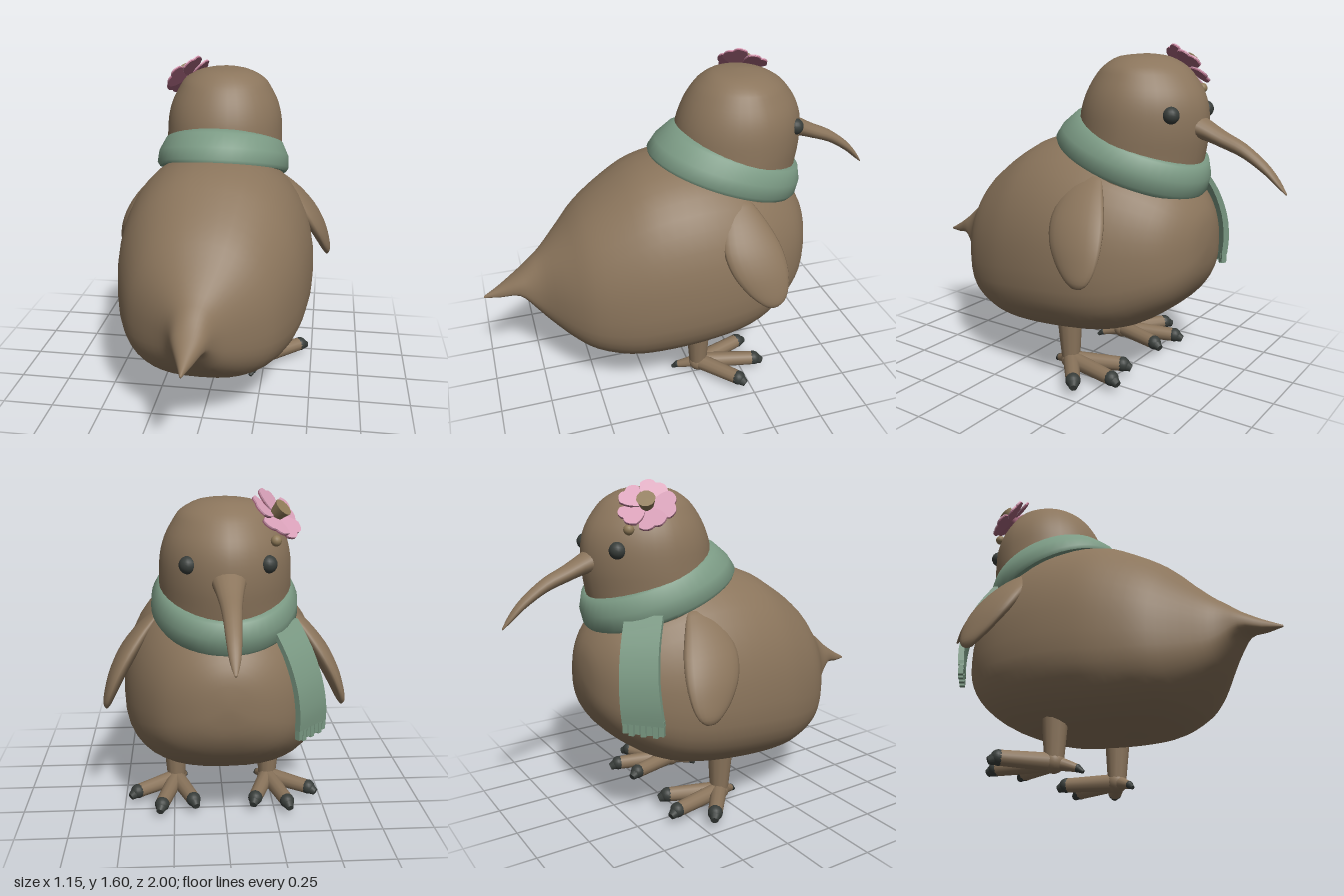
import * as THREE from 'three';
import { toCreasedNormals } from 'three/addons/utils/BufferGeometryUtils.js';

const mat = (name, color, opts = {}) => {
  const m = new THREE.MeshStandardMaterial({ color, ...opts });
  m.name = name;
  return m;
};
const V = (x, y, z) => new THREE.Vector3(x, y, z);

// Catmull-Rom interpolation of rows of numbers
function smooth(rows, steps) {
  const out = [], at = i => rows[Math.max(0, Math.min(rows.length - 1, i))];
  for (let i = 0; i < rows.length - 1; i++) {
    for (let k = 0; k < steps; k++) {
      const t = k / steps;
      out.push(rows[i].map((p1, j) => {
        const p0 = at(i - 1)[j], p2 = at(i + 1)[j], p3 = at(i + 2)[j];
        return p1 + 0.5 * t * (p2 - p0 + t * (2 * p0 - 5 * p1 + 4 * p2 - p3 + t * (3 * (p1 - p2) + p3 - p0)));
      }));
    }
  }
  out.push(rows[rows.length - 1]);
  return out;
}

// Skin a list of point rings; caps the ends, or joins last to first when closed
function loft(rings, closed = false) {
  const n = rings[0].length, m = rings.length, pts = rings.flat(), idx = [];
  for (let i = 0; i < (closed ? m : m - 1); i++) {
    for (let j = 0; j < n; j++) {
      const a = i * n + j, b = i * n + (j + 1) % n, k = ((i + 1) % m) * n;
      const c = k + j, d = k + (j + 1) % n;
      idx.push(a, b, c, b, d, c);
    }
  }
  if (!closed) {
    const mid = r => r.reduce((s, p) => s.add(p), V(0, 0, 0)).divideScalar(n);
    pts.push(mid(rings[0]), mid(rings[m - 1]));
    for (let j = 0; j < n; j++) {
      const k = (j + 1) % n, e = (m - 1) * n;
      idx.push(m * n, k, j, m * n + 1, e + j, e + k);
    }
  }
  // turn the faces outward
  let vol = 0;
  for (let i = 0; i < idx.length; i += 3) {
    vol += pts[idx[i]].dot(V(0, 0, 0).crossVectors(pts[idx[i + 1]], pts[idx[i + 2]]));
  }
  if (vol < 0) idx.reverse();
  const g = new THREE.BufferGeometry().setFromPoints(pts);
  g.setIndex(idx);
  g.computeVertexNormals();
  return g;
}

// Ring of n points from a function of cosine and sine
const ring = (n, fn) => Array.from({ length: n }, (_, i) => {
  const a = (i / n) * Math.PI * 2;
  return fn(Math.cos(a), Math.sin(a));
});
const pw = (v, p) => Math.sign(v) * Math.pow(Math.abs(v), 2 / p);

export function createModel() {
  const model = new THREE.Group();
  const brown = mat('brown feathers', 0x8b755c);
  const dark = mat('dark claws and eyes', 0x383d3a);
  const green = mat('scarf green', 0x7b9a84);
  const pink = mat('petal pink', 0xd8a0b8, { side: THREE.DoubleSide });
  const plum = mat('petal underside', 0xa3637a, { side: THREE.DoubleSide });
  const tan = mat('flower centre', 0x8f7a58);

  const add = (name, geo, material, parent = model) => {
    const m = new THREE.Mesh(geo, material);
    m.name = name;
    parent.add(m);
    return m;
  };
  // Tapered round bar between two points
  const bar = (name, a, b, r0, r1, material, parent) => {
    const m = add(name, new THREE.CylinderGeometry(r1, r0, a.distanceTo(b), 12), material, parent);
    m.position.copy(a).lerp(b, 0.5);
    m.quaternion.setFromUnitVectors(V(0, 1, 0), b.clone().sub(a).normalize());
    return m;
  };
  const ball = (name, p, r, material, parent) => {
    const m = add(name, new THREE.SphereGeometry(r, 16, 12), material, parent);
    m.position.copy(p);
    return m;
  };

  // Body and pointed tail: z, top, bottom, half width
  const bodyRows = [
    [1, 0.525, 0.515, 0.004], [0.92, 0.57, 0.515, 0.035], [0.83, 0.63, 0.52, 0.075], [0.76, 0.69, 0.44, 0.108],
    [0.7, 0.74, 0.37, 0.158], [0.6, 0.84, 0.285, 0.272], [0.5, 0.945, 0.225, 0.36], [0.35, 1.055, 0.185, 0.43],
    [0.2, 1.135, 0.183, 0.47], [0, 1.17, 0.2, 0.49], [-0.2, 1.15, 0.228, 0.474], [-0.36, 1.09, 0.28, 0.422],
    [-0.5, 1.0, 0.375, 0.335], [-0.58, 0.92, 0.46, 0.245], [-0.63, 0.83, 0.56, 0.135], [-0.645, 0.73, 0.67, 0.03]];
  add('body', loft(smooth(bodyRows, 3).map(([z, t, b, w]) => ring(40, (c, s) => {
    const mid = b + (t - b) * 0.39, p = s > 0 ? 2.2 : 2.6;
    return V(w * pw(c, p), mid + (s > 0 ? t - mid : mid - b) * pw(s, p), z);
  }))), brown);

  // Head and neck, narrowing toward the beak: y, back z, front z, half width
  const headRows = [
    [1.553, -0.28, -0.33, 0.02], [1.54, -0.17, -0.41, 0.12], [1.5, -0.105, -0.487, 0.198], [1.45, -0.06, -0.537, 0.236],
    [1.38, -0.02, -0.582, 0.272], [1.3, 0.008, -0.604, 0.292], [1.2, 0.025, -0.606, 0.298], [1.1, 0.05, -0.592, 0.3],
    [1, 0.05, -0.575, 0.31], [0.88, 0, -0.575, 0.29], [0.75, -0.1, -0.58, 0.23]];
  add('head', loft(smooth(headRows, 3).map(([y, b, f, w]) => ring(36, (c, s) => {
    const p = s > 0 ? 2 : 1.8;
    return V(w * pw(c, p), y, (b + f) / 2 + (b - f) / 2 * pw(s, p));
  }))), brown);

  // Long curved beak: z, top, bottom, half width
  const beakRows = [
    [-0.54, 1.31, 1.17, 0.09], [-0.6, 1.28, 1.18, 0.07], [-0.7, 1.225, 1.15, 0.05], [-0.8, 1.178, 1.113, 0.039],
    [-0.9, 1.105, 1.052, 0.031], [-0.96, 1.04, 1.003, 0.022], [-1, 0.98, 0.972, 0.006]];
  add('beak', loft(smooth(beakRows, 3).map(([z, t, b, w]) => ring(16, (c, s) =>
    V(w * c, (t + b) / 2 + (t - b) / 2 * s, z)))), brown);

  // Wing: y, centre x, half thickness, centre z, half width
  const wingRows = [
    [1.02, 0.3, 0.02, -0.2, 0.05], [0.95, 0.365, 0.04, -0.2, 0.1], [0.85, 0.438, 0.05, -0.215, 0.138],
    [0.75, 0.495, 0.045, -0.24, 0.137], [0.66, 0.533, 0.033, -0.268, 0.105], [0.6, 0.553, 0.022, -0.287, 0.062],
    [0.572, 0.558, 0.008, -0.29, 0.025]];

  for (const s of [-1, 1]) {
    const side = s > 0 ? 'left' : 'right';
    add(side + 'Wing', loft(smooth(wingRows, 3).map(([y, x, t, z, h]) => ring(20, (c, q) =>
      V(s * (x + t * c), y, z + h * q)))), brown);
    ball(side + 'Eye', V(s * 0.169, 1.298, -0.523), 0.039, dark);

    // Leg with three front toes and one back toe
    const leg = new THREE.Group();
    leg.name = side + 'Leg';
    model.add(leg);
    const ankle = V(s * 0.24, 0.055, -0.03);
    bar('shin', ankle, V(s * 0.243, 0.3, -0.025), 0.045, 0.064, brown, leg);
    ball('ankle', ankle, 0.05, brown, leg);
    for (const [x, y, z] of [[0.435, 0.06, -0.183], [0.31, 0.057, -0.315], [0.155, 0.06, -0.28], [0.2, 0.022, 0.07]]) {
      const end = V(s * x, y, z), dir = end.clone().sub(ankle).normalize();
      const back = z > 0, r = back ? 0.018 : 0.035;
      bar('toe', ankle, end, back ? 0.035 : 0.042, r, brown, leg);
      const tip = end.clone().addScaledVector(dir, back ? 0.03 : 0.045);
      tip.y -= back ? 0.01 : 0.018;
      ball('clawRoot', end, r * 1.03, dark, leg);
      bar('claw', end, tip, r, r * 0.5, dark, leg);
    }
  }

  // Scarf ring, high at the nape and low on the chest
  const scarfRings = [];
  for (let i = 0; i < 48; i++) {
    const a = i / 48 * Math.PI * 2, c = Math.cos(a), s = Math.sin(a), out = V(s, 0, c);
    const top = V(0.29 * s, 1.185 + 0.113 * c, -0.285 + 0.31 * c);
    const low = V(0.335 * s, 1.035 + 0.13 * c, -0.215 + 0.37 * c);
    const at = (t, o) => top.clone().lerp(low, t).addScaledVector(out, o);
    scarfRings.push([at(0.05, -0.05), at(0, -0.015), at(0.08, 0.008), at(0.5, 0.022), at(0.88, 0.01),
      at(1, -0.008), at(1, -0.06), at(0.5, -0.07)]);
  }
  add('scarf', toCreasedNormals(loft(scarfRings, true), 0.9), green);

  // Hanging scarf end: centre x, y, z, half width
  const across = V(0.73, 0, -0.68), away = V(-0.68, 0, -0.73);
  const flapRows = [[-0.25, 1.02, -0.44, 0.088], [-0.31, 0.9, -0.495, 0.088], [-0.352, 0.77, -0.527, 0.09],
    [-0.372, 0.65, -0.532, 0.094], [-0.375, 0.56, -0.523, 0.097]];
  add('scarfEnd', toCreasedNormals(loft(smooth(flapRows, 3).map(([x, y, z, w]) =>
    [[-1, -1], [1, -1], [1, 1], [-1, 1]].map(([u, v]) =>
      V(x, y, z).addScaledVector(across, u * w).addScaledVector(away, v * 0.014)))), 0.6), green);
  for (let i = 0; i < 7; i++) {
    const f = add('fringe', new THREE.BoxGeometry(0.024, 0.07, 0.024), green);
    f.position.set(-0.375, 0.55 - (i % 2) * 0.01, -0.523).addScaledVector(across, (i - 3) * 0.028);
    f.rotation.y = Math.atan2(-0.68, -0.73);
  }

  // Flower on the side of the head
  const flower = new THREE.Group();
  flower.name = 'flower';
  flower.position.set(-0.2, 1.475, -0.39);
  flower.quaternion.setFromUnitVectors(V(0, 0, 1), V(-0.6, 0.68, -0.42).normalize());
  model.add(flower);
  const petal = new THREE.Shape();
  petal.moveTo(0, 0);
  petal.bezierCurveTo(0.025, -0.02, 0.05, -0.06, 0.1, -0.064);
  petal.quadraticCurveTo(0.142, -0.04, 0.122, 0);
  petal.quadraticCurveTo(0.145, 0.035, 0.1, 0.064);
  petal.bezierCurveTo(0.05, 0.06, 0.025, 0.02, 0, 0);
  for (let i = 0; i < 5; i++) {
    for (const [name, m, z] of [['petal', pink, 0.012], ['petalUnderside', plum, 0.006]]) {
      const p = add(name, new THREE.ExtrudeGeometry(petal, { depth: 0.006, bevelEnabled: false, curveSegments: 6 }), m, flower);
      p.rotation.set(0.16, -0.12, i * Math.PI * 0.4, 'ZYX');
      p.position.z = z;
    }
  }
  bar('flowerCentre', V(0, 0, 0), V(0, 0, 0.07), 0.024, 0.042, tan, flower);
  bar('flowerStem', V(0, 0, -0.05), V(0, 0, 0.008), 0.02, 0.03, plum, flower);
  ball('flowerBud', V(-0.205, 1.39, -0.485), 0.024, tan);

  return model;
}
